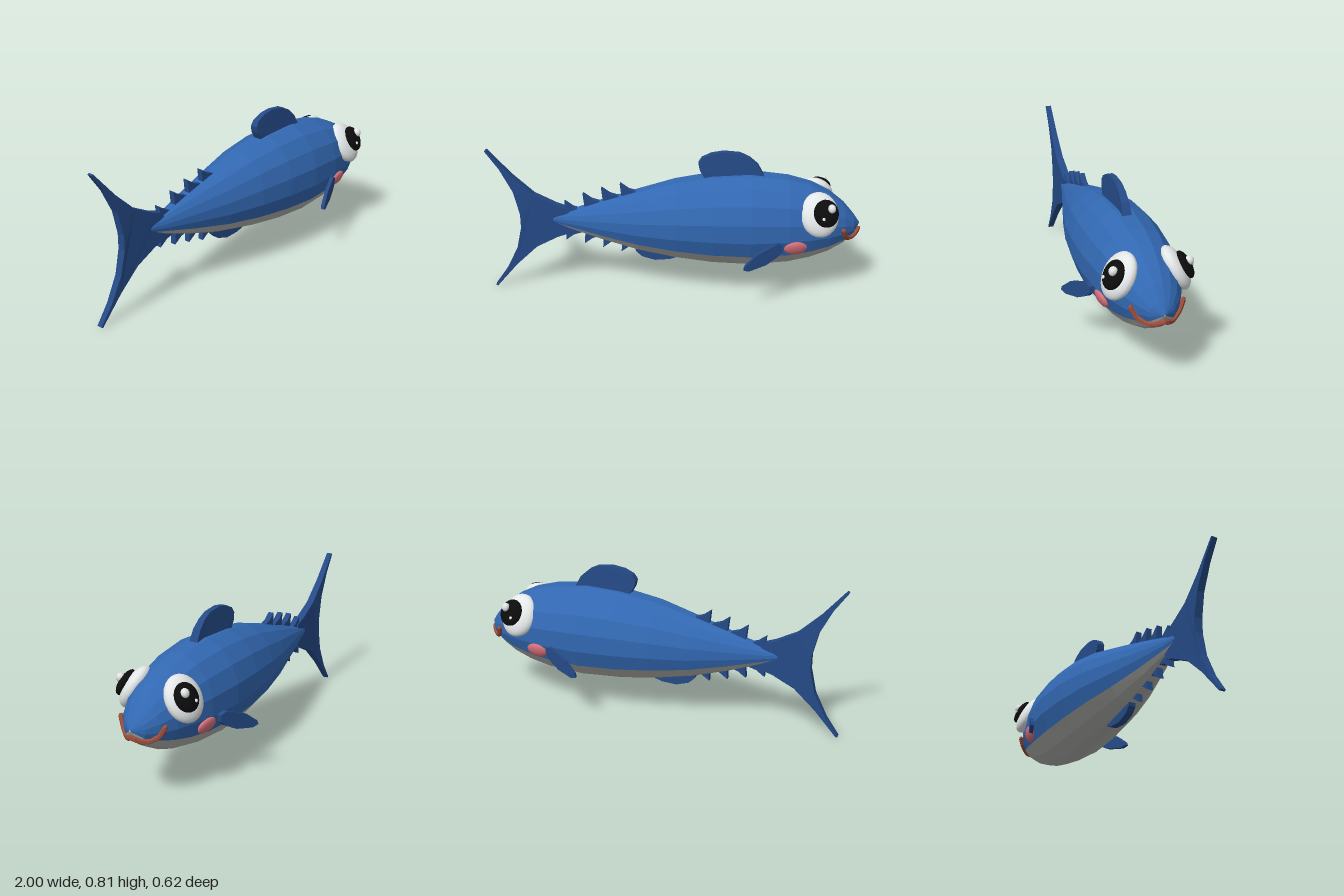
import * as THREE from 'three';

const mat = (name, color) => {
  const m = new THREE.MeshStandardMaterial({ color });
  m.name = name;
  return m;
};

export function createModel() {
  const fish = new THREE.Group();
  fish.name = 'fish';
  const blue = mat('bodyBlue', 0x3268b2);
  const navy = mat('finBlue', 0x254a87);
  const grey = mat('bellyGrey', 0xb0b0ae);
  const white = mat('eyeWhite', 0xeaeeee);
  const black = mat('pupilBlack', 0x0c0c0c);
  const pink = mat('cheekPink', 0xd8707c);
  const brown = mat('lipBrown', 0x9c4c3a);

  const add = (parent, name, geo, material) => {
    const mesh = new THREE.Mesh(geo, material);
    mesh.name = name;
    parent.add(mesh);
    return mesh;
  };
  const flat = (geo) => {
    const g = geo.index ? geo.toNonIndexed() : geo;
    g.computeVertexNormals();
    return g;
  };

  // Body stations: x, top, bottom, half width
  const stations = [
    [-0.67, 0.422, 0.418, 0.002], [-0.668, 0.445, 0.395, 0.02], [-0.6, 0.458, 0.37, 0.034],
    [-0.4, 0.525, 0.3, 0.087], [-0.2, 0.588, 0.242, 0.142], [0, 0.647, 0.203, 0.188],
    [0.2, 0.683, 0.177, 0.215], [0.4, 0.694, 0.167, 0.223], [0.6, 0.671, 0.183, 0.206],
    [0.72, 0.638, 0.21, 0.183], [0.82, 0.588, 0.247, 0.152], [0.9, 0.523, 0.293, 0.111],
    [0.955, 0.459, 0.341, 0.064], [0.99, 0.409, 0.401, 0.004],
  ];
  const SIDES = 16;
  const ringPoint = (i, j) => {
    const [x, top, bottom, w] = stations[i];
    const a = ((j + 0.5) / SIDES) * Math.PI * 2;
    return [x, (top + bottom) / 2 + ((top - bottom) / 2) * Math.cos(a), w * Math.sin(a)];
  };
  // Strip of body faces from side number "from" to "to"
  const bodyStrip = (from, to) => {
    const pos = [];
    for (let i = 0; i < stations.length - 1; i++) {
      for (let j = from; j < to; j++) {
        const a = ringPoint(i, j), b = ringPoint(i, j + 1);
        const c = ringPoint(i + 1, j + 1), d = ringPoint(i + 1, j);
        pos.push(...a, ...b, ...c, ...a, ...c, ...d);
      }
    }
    const g = new THREE.BufferGeometry();
    g.setAttribute('position', new THREE.Float32BufferAttribute(pos, 3));
    return flat(g);
  };
  add(fish, 'back', bodyStrip(10, 21), blue);
  add(fish, 'belly', bodyStrip(5, 10), grey);

  // Fin plate from an outline, with half thickness given by a rule of x and y
  const finGeometry = (points, half) => {
    const shape = new THREE.Shape(points.map(([x, y]) => new THREE.Vector2(x, y)));
    const g = new THREE.ExtrudeGeometry(shape, { depth: 2, bevelEnabled: false });
    g.translate(0, 0, -1);
    const p = g.attributes.position;
    for (let i = 0; i < p.count; i++) p.setZ(i, p.getZ(i) * half(p.getX(i), p.getY(i)));
    return flat(g);
  };

  // Forked tail, mirrored about its middle height
  const mid = 0.408;
  const lobe = [[-0.57, 0.07], [-0.64, 0.095], [-0.755, 0.155], [-0.87, 0.265], [-0.99, 0.405],
    [-1, 0.4], [-0.93, 0.3], [-0.865, 0.17], [-0.835, 0.04]];
  const tail = [
    ...lobe.map(([x, y]) => [x, mid + y]),
    ...[...lobe].reverse().map(([x, y]) => [x, mid - y]),
  ];
  add(fish, 'tailFin', finGeometry(tail, (x, y) => 0.024 - 0.022 * Math.abs(y - mid)), navy);

  // Dorsal and anal fins
  add(fish, 'dorsalFin', finGeometry([[0.17, 0.64], [0.13, 0.71], [0.122, 0.745], [0.14, 0.775],
    [0.19, 0.8], [0.255, 0.811], [0.34, 0.803], [0.39, 0.778], [0.435, 0.738], [0.47, 0.675], [0.45, 0.64]],
  (x, y) => 0.025 - 0.08 * Math.max(0, y - 0.69)), navy);
  add(fish, 'analFin', finGeometry([[-0.22, 0.27], [-0.215, 0.23], [-0.18, 0.197], [-0.11, 0.176],
    [-0.03, 0.182], [0.01, 0.195], [0.04, 0.22], [0.02, 0.25]], () => 0.02), navy);

  // Rows of small finlets above and below the tail root
  for (let i = 0; i < 4; i++) {
    const x = -0.294 - 0.1 * i;
    for (const [name, tip, s] of [
      ['upperFinlet', [0.626, 0.6, 0.567, 0.52][i], 1],
      ['lowerFinlet', [0.225, 0.25, 0.273, 0.294][i], -1],
    ]) {
      const outline = [[x, tip], [x + 0.045, tip - 0.033 * s], [x + 0.1, tip - 0.05 * s],
        [x + 0.09, tip - 0.09 * s], [x + 0.01, tip - 0.1 * s]];
      add(fish, name, finGeometry(outline, () => 0.016), navy);
    }
  }

  // Flattened ball used for eyes and cheeks
  const ball = (rx, ry, rz, w = 20, h = 14) => new THREE.SphereGeometry(1, w, h).scale(rx, ry, rz);
  // Group on the skin whose local z points away from the body
  const skinGroup = (name, pos, normal, side) => {
    const g = new THREE.Group();
    g.name = name;
    g.position.set(pos[0], pos[1], pos[2] * side);
    g.lookAt(pos[0] + normal[0], pos[1] + normal[1], (pos[2] + normal[2]) * side);
    fish.add(g);
    return g;
  };

  for (const side of [1, -1]) {
    const label = side > 0 ? 'left' : 'right';

    // Pectoral fin swept back and outward
    const fin = finGeometry([[0.358, 0.272], [0.365, 0.293], [0.428, 0.348], [0.535, 0.39], [0.567, 0.375],
      [0.565, 0.34], [0.54, 0.315], [0.48, 0.28], [0.39, 0.262]], () => 0.011);
    const p = fin.attributes.position;
    for (let i = 0; i < p.count; i++) {
      p.setZ(i, p.getZ(i) + side * (0.213 + (0.567 - p.getX(i)) * 0.42));
    }
    add(fish, label + 'PectoralFin', flat(fin), navy);

    // Eye with pupil and two glints
    const eye = skinGroup(label + 'Eye', [0.755, 0.515, 0.14], [0.2, 0.5, 0.85], side);
    add(eye, 'eyeball', ball(0.105, 0.12, 0.055), white);
    add(eye, 'pupil', ball(0.068, 0.073, 0.03), black).position.set(0.02 * side, 0, 0.05);
    add(eye, 'largeGlint', ball(0.022, 0.024, 0.022, 8, 6), white).position.set(0.043 * side, 0.02, 0.08);
    add(eye, 'smallGlint', ball(0.009, 0.009, 0.006, 8, 6), white).position.set(-0.006 * side, -0.03, 0.077);

    // Blush
    const cheek = skinGroup(label + 'Cheek', [0.635, 0.342, 0.187], [0.12, -0.35, 0.93], side);
    add(cheek, 'blush', ball(0.063, 0.044, 0.018, 12, 8), pink);
  }

  // Wavy lips
  const half = [[0.89, 0.417, 0.13], [0.905, 0.37, 0.106], [0.935, 0.345, 0.065], [0.962, 0.35, 0.035]];
  const lipPoints = [
    ...half, [0.988, 0.372, 0],
    ...[...half].reverse().map(([x, y, z]) => [x, y, -z]),
  ].map((v) => new THREE.Vector3(...v));
  const lipCurve = new THREE.CatmullRomCurve3(lipPoints, false, 'catmullrom', 0.3);
  add(fish, 'lips', flat(new THREE.TubeGeometry(lipCurve, 20, 0.013, 6)), brown);
  for (const end of [lipPoints[0], lipPoints[lipPoints.length - 1]]) {
    add(fish, 'lipEnd', flat(new THREE.IcosahedronGeometry(0.013, 0)), brown).position.copy(end);
  }

  return fish;
}
